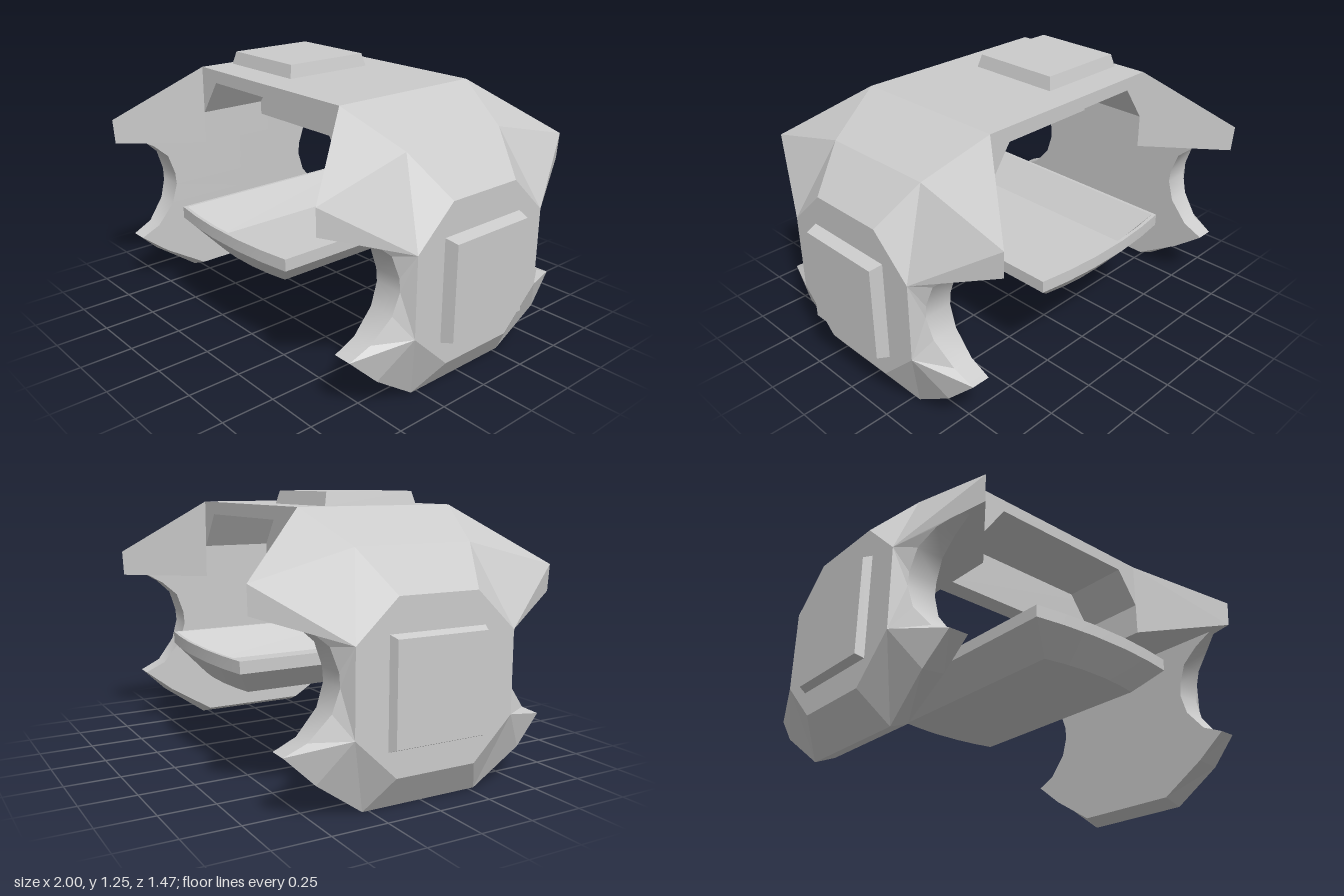
import * as THREE from 'three';
import { toCreasedNormals } from 'three/addons/utils/BufferGeometryUtils.js';

const grey = new THREE.MeshStandardMaterial({ color: 0xcccccc });

function mesh(name, geometry) {
  const m = new THREE.Mesh(geometry, grey);
  m.name = name;
  return m;
}

// Collects convex-fan polygons; each is turned to face along a hint direction
// and copied to all four quarters (mirrored in x and z).
class QuarterShell {
  constructor() { this.pos = []; }
  face(points, hint) {
    const h = new THREE.Vector3(...hint);
    for (let i = 1; i < points.length - 1; i++) {
      const [a, b, c] = [points[0], points[i], points[i + 1]].map((p) => new THREE.Vector3(...p));
      const n = b.clone().sub(a).cross(c.clone().sub(a));
      const tri = n.dot(h) < 0 ? [a, c, b] : [a, b, c];
      for (const sx of [1, -1]) for (const sz of [1, -1]) {
        const order = sx * sz > 0 ? tri : [tri[0], tri[2], tri[1]];
        for (const v of order) this.pos.push(v.x * sx, v.y, v.z * sz);
      }
    }
  }
  geometry() {
    const g = new THREE.BufferGeometry();
    g.setAttribute('position', new THREE.Float32BufferAttribute(this.pos, 3));
    g.computeVertexNormals();
    return g;
  }
}

// Raised plate with a slightly smaller top, base on y = 0
function plate(w, h, d, inset = 0.015) {
  const g = new THREE.BoxGeometry(w, h, d).translate(0, h / 2, 0);
  const p = g.attributes.position;
  for (let i = 0; i < p.count; i++) {
    if (p.getY(i) < h / 2) continue;
    p.setX(i, p.getX(i) - Math.sign(p.getX(i)) * inset);
    p.setZ(i, p.getZ(i) - Math.sign(p.getZ(i)) * inset);
  }
  const flat = g.toNonIndexed();
  flat.computeVertexNormals();
  return flat;
}

function createShell() {
  const group = new THREE.Group();
  group.name = 'shell';
  const mid = ([x, y]) => [x, y, 0];
  const innerX = 0.765;

  // Corners of one quarter
  const R = [0.5, 1.19, 0.38], E = [0.78, 1.045, 0.28], T = [0.78, 0.93, 0.735], T2 = [0.775, 0.81, 0.73];
  const P = [0.955, 0.87, 0.19], B = [0.955, 0.695, 0.38], A = [0.955, 0.335, 0.38], Q = [0.955, 0.155, 0.19];
  const M = [0.87, 0.155, 0.5], N = [0.85, 0, 0.28];
  const M2 = [innerX, 0.17, 0.49], N2 = [innerX, 0.035, 0.27];
  const S = [0.5, 0.81, 0.38], V = [0.5, 0.965, 0.38], W = [0.385, 1.13, 0.38];
  // Round cut-out, top to bottom
  const arc = [
    [0.8, 0.81, 0.62], [0.855, 0.76, 0.53], [0.885, 0.69, 0.45], [0.895, 0.59, 0.415],
    [0.895, 0.53, 0.41], [0.885, 0.43, 0.44], [0.86, 0.325, 0.53], [0.85, 0.28, 0.63],
  ];
  const arcIn = arc.map(([, y, z]) => [innerX, y, z]);
  const L = arc[7], L2 = arcIn[7];

  const s = new QuarterShell();
  // Roof, sloped shoulders and outer side
  s.face([R, mid(R), [0, 1.19, 0], [0, 1.19, 0.38]], [0, 1, 0]);
  s.face([R, E, mid(E), mid(R)], [1, 1, 0]);
  s.face([R, E, T], [0, 1, 0]);
  s.face([E, P, mid(P), mid(E)], [1, 1, 0]);
  s.face([E, P, B, T], [1, 1, 1]);
  s.face([mid(P), P, B, A, Q, mid(Q)], [1, 0, 0]);
  // Bevelled end faces around the cut-out
  s.face([B, T, T2, ...arc.slice(0, 5)], [1, 0, 1]);
  s.face([A, B, arc[4]], [1, 0, 1]);
  s.face([A, ...arc.slice(4), M], [1, 0, 1]);
  // Lower bevels and bottom rim
  s.face([A, Q, N, M], [1, -1, 1]);
  s.face([Q, N, mid(N), mid(Q)], [1, -1, 0]);
  s.face([N, N2, mid(N2), mid(N)], [0, -1, 0]);
  s.face([M, N, N2, M2], [0, -1, 1]);
  s.face([L, M, M2, L2], [0, -1, 1]);
  // Brow, its underside and the roof edge
  s.face([R, T, T2, S], [-1, 0, 1]);
  s.face([arcIn[0], T2, S, mid(S), [innerX, 0.81, 0]], [0, -1, 0]);
  s.face([T2, arc[0], arcIn[0]], [0, -1, 0]);
  s.face([W, [0, 1.13, 0.38], [0, 1.19, 0.38], R, V], [0, 0, 1]);
  // Inside walls and ceiling
  s.face([S, V, mid(V), mid(S)], [-1, 0, 0]);
  s.face([V, W, mid(W), mid(V)], [-1, -1, 0]);
  s.face([W, [0, 1.13, 0.38], [0, 1.13, 0], mid(W)], [0, -1, 0]);
  const inner = [...arcIn, M2, N2];
  for (let i = 0; i < inner.length - 1; i++) {
    s.face([inner[i], inner[i + 1], mid(inner[i + 1]), mid(inner[i])], [-1, 0, 0]);
  }
  group.add(mesh('body', s.geometry()));

  // Smooth walls of the round cut-outs
  const cut = new QuarterShell();
  for (let i = 0; i < arc.length - 1; i++) {
    const [, y, z] = arc[i];
    cut.face([arc[i], arc[i + 1], arcIn[i + 1], arcIn[i]], [0, 0.55 - y, 0.72 - z]);
  }
  group.add(mesh('cutOutWalls', toCreasedNormals(cut.geometry(), 0.8)));

  // Cross wall under the roof
  const wall = mesh('crossWall', new THREE.BoxGeometry(1, 0.23, 0.08));
  wall.position.y = 1.015;
  group.add(wall);

  group.position.x = -0.01;
  return group;
}

// Open tray lofted through rings with bowed ends
function createTray() {
  const rings = [ // half width, half length at middle, at corner, height
    [0.27, 0.53, 0.5, 0.385], [0.4, 0.63, 0.595, 0.5], [0.4, 0.63, 0.595, 0.555],
    [0.385, 0.615, 0.58, 0.555], [0.26, 0.515, 0.485, 0.42],
  ];
  const steps = [-1, -0.65, -0.25, 0.25, 0.65, 1];
  const loops = rings.map(([hx, zm, zc, y]) => {
    const front = steps.map((t) => [hx * t, y, zm - (zm - zc) * t * t]);
    return [...front, ...front.map(([x, , z]) => [-x, y, -z])];
  });
  const pos = [];
  const n = loops[0].length;
  for (let r = 0; r < loops.length - 1; r++) {
    for (let i = 0; i < n; i++) {
      const j = (i + 1) % n;
      const a = loops[r][i], b = loops[r][j], c = loops[r + 1][j], d = loops[r + 1][i];
      pos.push(...a, ...b, ...c, ...a, ...c, ...d);
    }
  }
  // Underside and floor
  const under = loops[0], floor = loops[loops.length - 1];
  for (let i = 1; i < n - 1; i++) {
    pos.push(...under[0], ...under[i + 1], ...under[i]);
    pos.push(...floor[0], ...floor[i], ...floor[i + 1]);
  }
  const g = new THREE.BufferGeometry();
  g.setAttribute('position', new THREE.Float32BufferAttribute(pos, 3));
  return mesh('tray', toCreasedNormals(g, 0.4));
}

export function createModel() {
  const group = new THREE.Group();
  group.name = 'model';
  group.add(createShell(), createTray());

  const roofPlate = mesh('roofPlate', plate(0.46, 0.06, 0.46));
  roofPlate.position.set(-0.25, 1.19, -0.005);
  group.add(roofPlate);

  for (const [name, side, base] of [['leftSidePlate', 1, 0.945], ['rightSidePlate', -1, 0.965]]) {
    const p = mesh(name, plate(0.46, 1 - base, 0.46));
    p.rotation.z = -side * Math.PI / 2;
    p.position.set(side * base, 0.497, 0);
    group.add(p);
  }
  return group;
}
